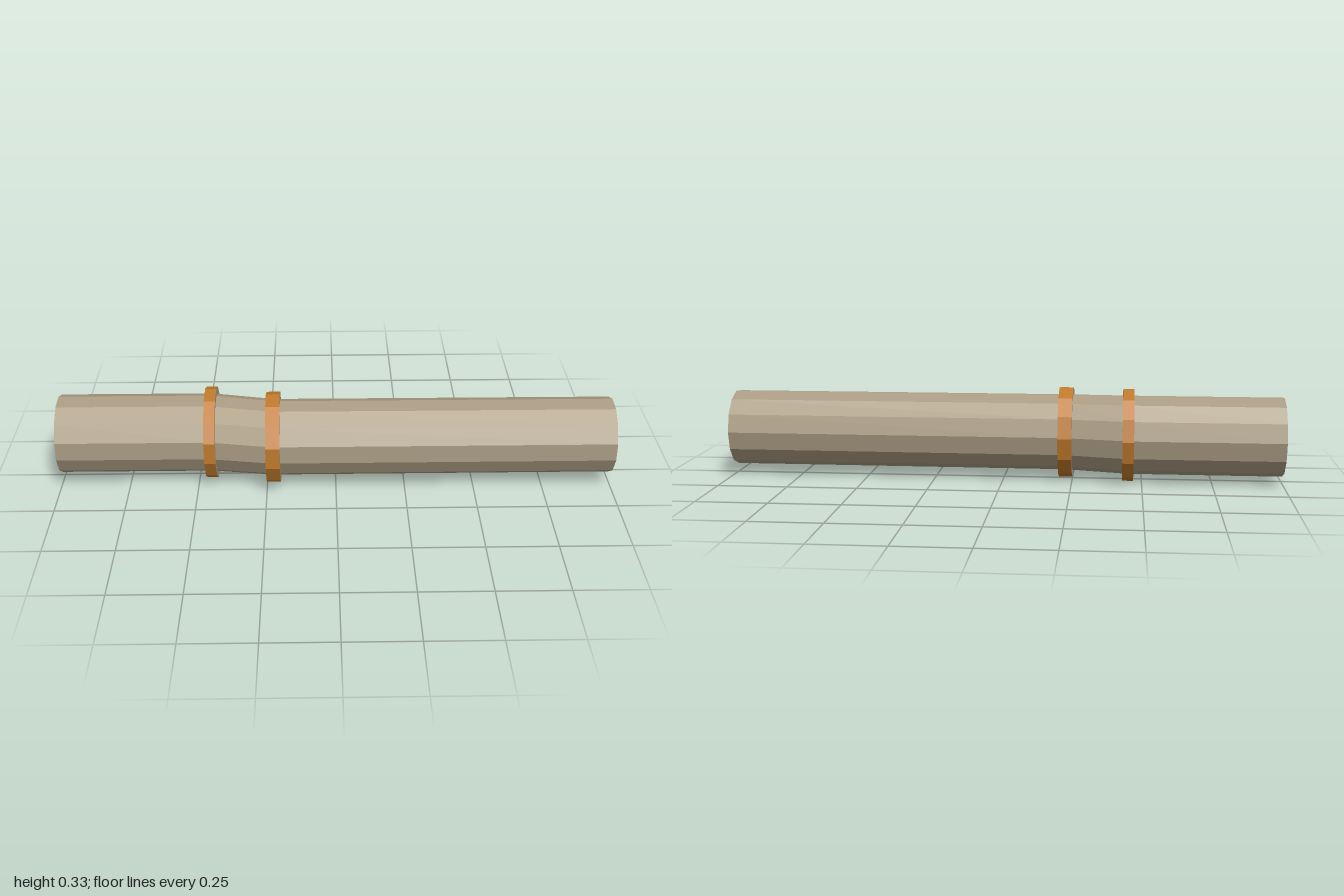
import * as THREE from 'three';

const SIDES = 13;
const AXIS_Y = 0.167;

const tan = new THREE.MeshStandardMaterial({ color: 0xab9d84, flatShading: true, side: THREE.DoubleSide });
const orange = new THREE.MeshStandardMaterial({ color: 0xc07a2c, flatShading: true, side: THREE.DoubleSide });

// Open tube along x between two stations {x, z, r}; the z offset shears it.
function tube(name, a, b, material) {
  const length = b.x - a.x;
  const geo = new THREE.CylinderGeometry(b.r, a.r, length, SIDES, 1, true, Math.PI);
  geo.rotateZ(-Math.PI / 2);
  const p = geo.attributes.position;
  for (let i = 0; i < p.count; i++) {
    const t = p.getX(i) / length + 0.5;
    p.setZ(i, p.getZ(i) + a.z + (b.z - a.z) * t);
  }
  geo.translate((a.x + b.x) / 2, AXIS_Y, 0);
  geo.computeVertexNormals();
  const mesh = new THREE.Mesh(geo, material);
  mesh.name = name;
  return mesh;
}

// Raised collar: coloured outer band with a flat annulus at each end.
function collar(name, x0, x1, z, inner, outer) {
  const group = new THREE.Group();
  group.name = name;
  group.add(tube(name + 'Band', { x: x0, z, r: outer }, { x: x1, z, r: outer }, orange));
  for (const x of [x0, x1]) {
    const geo = new THREE.RingGeometry(inner, outer, SIDES, 1);
    if (x === x0) geo.scale(1, 1, -1).index.array.reverse(); // face outward at -x
    geo.rotateY(Math.PI / 2);
    geo.translate(x, AXIS_Y, z);
    geo.computeVertexNormals();
    const face = new THREE.Mesh(geo, tan);
    face.name = name + 'Face';
    group.add(face);
  }
  return group;
}

export function createModel() {
  const model = new THREE.Group();
  model.name = 'pipe';

  // Stations along the pipe: end, bend start, bend finish, end
  const s = [
    { x: -1, z: -0.015, r: 0.143 },
    { x: -0.45, z: -0.015, r: 0.143 },
    { x: -0.225, z: 0.025, r: 0.139 },
    { x: 1, z: 0.025, r: 0.138 },
  ];
  ['shortPipe', 'offsetJoint', 'longPipe'].forEach((name, i) => model.add(tube(name, s[i], s[i + 1], tan)));

  // Collars over the two joints
  model.add(collar('shortPipeCollar', -0.47, -0.43, -0.0165, 0.141, 0.168));
  model.add(collar('longPipeCollar', -0.25, -0.2, 0.025, 0.138, 0.1655));
  return model;
}
